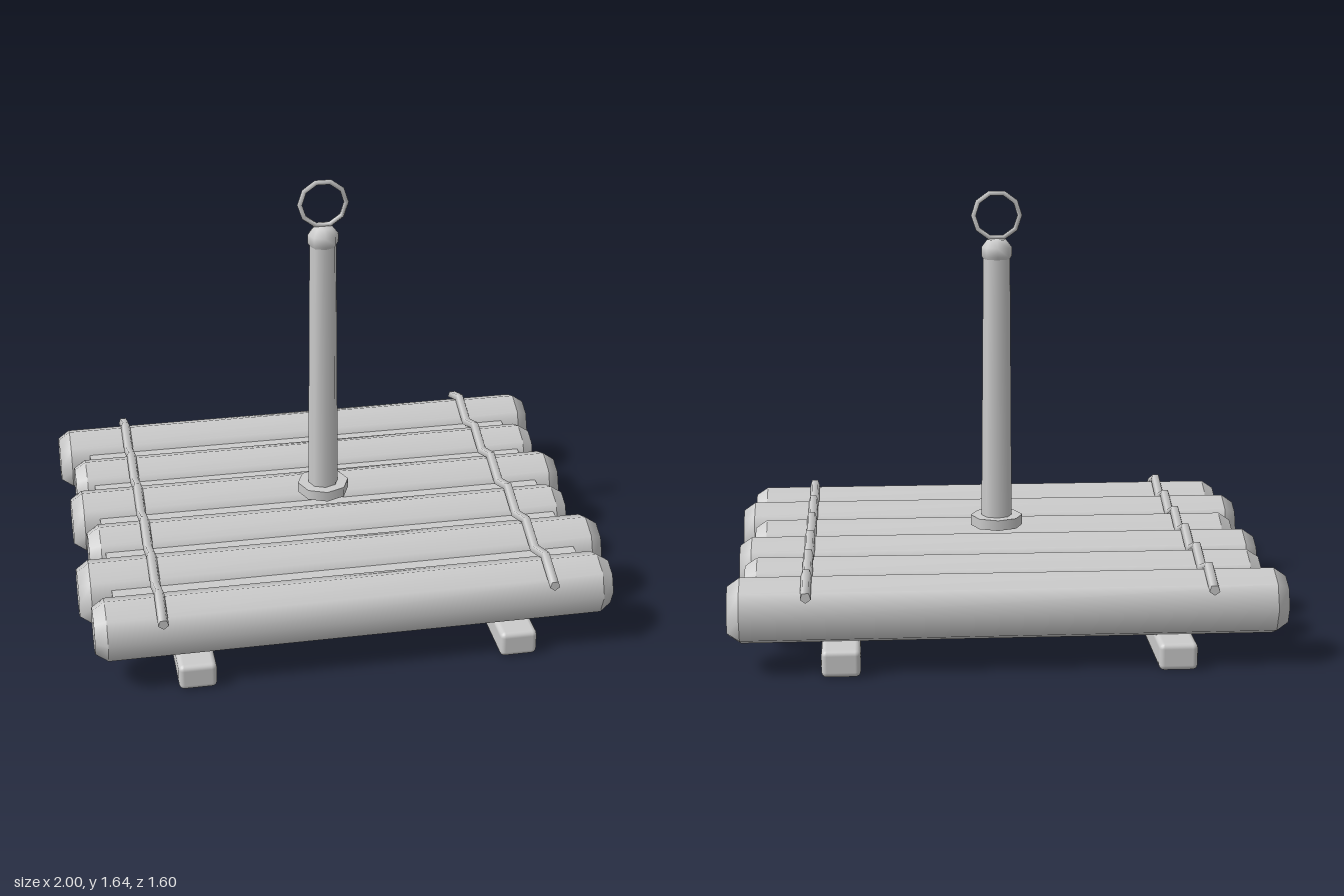
import * as THREE from 'three';
import { RoundedBoxGeometry } from 'three/addons/geometries/RoundedBoxGeometry.js';

const grey = new THREE.MeshStandardMaterial({ color: 0xcccccc });
grey.name = 'plain grey';

function add(parent, name, geometry, x = 0, y = 0, z = 0) {
  const mesh = new THREE.Mesh(geometry, grey);
  mesh.name = name;
  mesh.position.set(x, y, z);
  parent.add(mesh);
  return mesh;
}

function lathe(points, sides = 8) {
  return new THREE.LatheGeometry(points.map(([r, y]) => new THREE.Vector2(r, y)), sides);
}

// Eight-sided log along x with chamfered ends; doubled points keep an edge sharp
function logGeometry(half, radius, sharp) {
  const end = [[0, half], [radius * 0.74, half]];
  if (sharp) end.push([radius * 0.74, half]);
  end.push([radius, half - 0.045], [radius, half - 0.045]);
  const bottom = end.map(([r, y]) => [r, -y]);
  return lathe([...bottom, ...end.reverse()]).rotateZ(-Math.PI / 2);
}

// Lashing along z that rises over each log and dips into each gap
function ropeGeometry(pitch, logs) {
  const steps = logs * 2;
  const g = new THREE.CylinderGeometry(0.02, 0.02, pitch * logs, 5, steps);
  g.rotateX(Math.PI / 2);
  const p = g.attributes.position;
  for (let i = 0; i < p.count; i++) {
    const ring = Math.round((p.getZ(i) / pitch + logs / 2) * 2);
    p.setY(i, p.getY(i) + (ring % 2 ? 0.352 : 0.303));
  }
  g.computeVertexNormals();
  return g;
}

export function createModel() {
  const raft = new THREE.Group();
  raft.name = 'raft';

  // Deck logs, alternating thick soft-ended and thin sharp-ended
  const halfLengths = [1.0, 0.952, 0.985, 0.94, 1.0, 0.963];
  const pitch = 0.266;
  halfLengths.forEach((half, i) => {
    const sharp = i % 2 === 1;
    add(raft, 'log', logGeometry(half, sharp ? 0.117 : 0.122, sharp), 0, 0.221, (i - 2.5) * pitch);
  });

  // Filler strips between the logs
  for (let i = -2; i <= 2; i++) {
    add(raft, 'fillerStrip', new THREE.BoxGeometry(1.76, 0.09, 0.13), 0, 0.233, i * pitch);
  }

  // Runners below and lashings above
  for (const side of [-1, 1]) {
    add(raft, 'runner', new RoundedBoxGeometry(0.14, 0.1, 1.56, 2, 0.02), side * 0.6, 0.05, 0);
    add(raft, 'lashing', ropeGeometry(pitch, 6), side * 0.72, 0, 0);
  }

  // Mast with foot, rounded cap and ring
  const mast = new THREE.Group();
  mast.name = 'mast';
  raft.add(mast);
  add(mast, 'mastFoot', new THREE.CylinderGeometry(0.1, 0.1, 0.04, 8), 0, 0.362, 0);
  add(mast, 'mastPole', new THREE.CylinderGeometry(0.051, 0.059, 1.06, 8), 0, 0.88, 0);
  add(mast, 'mastCap', lathe([
    [0, 1.355], [0.038, 1.362], [0.058, 1.393], [0.058, 1.427], [0.036, 1.456], [0, 1.46],
  ]));
  add(mast, 'mastRing', new THREE.TorusGeometry(0.087, 0.01, 5, 10), 0, 1.547, 0);

  return raft;
}
